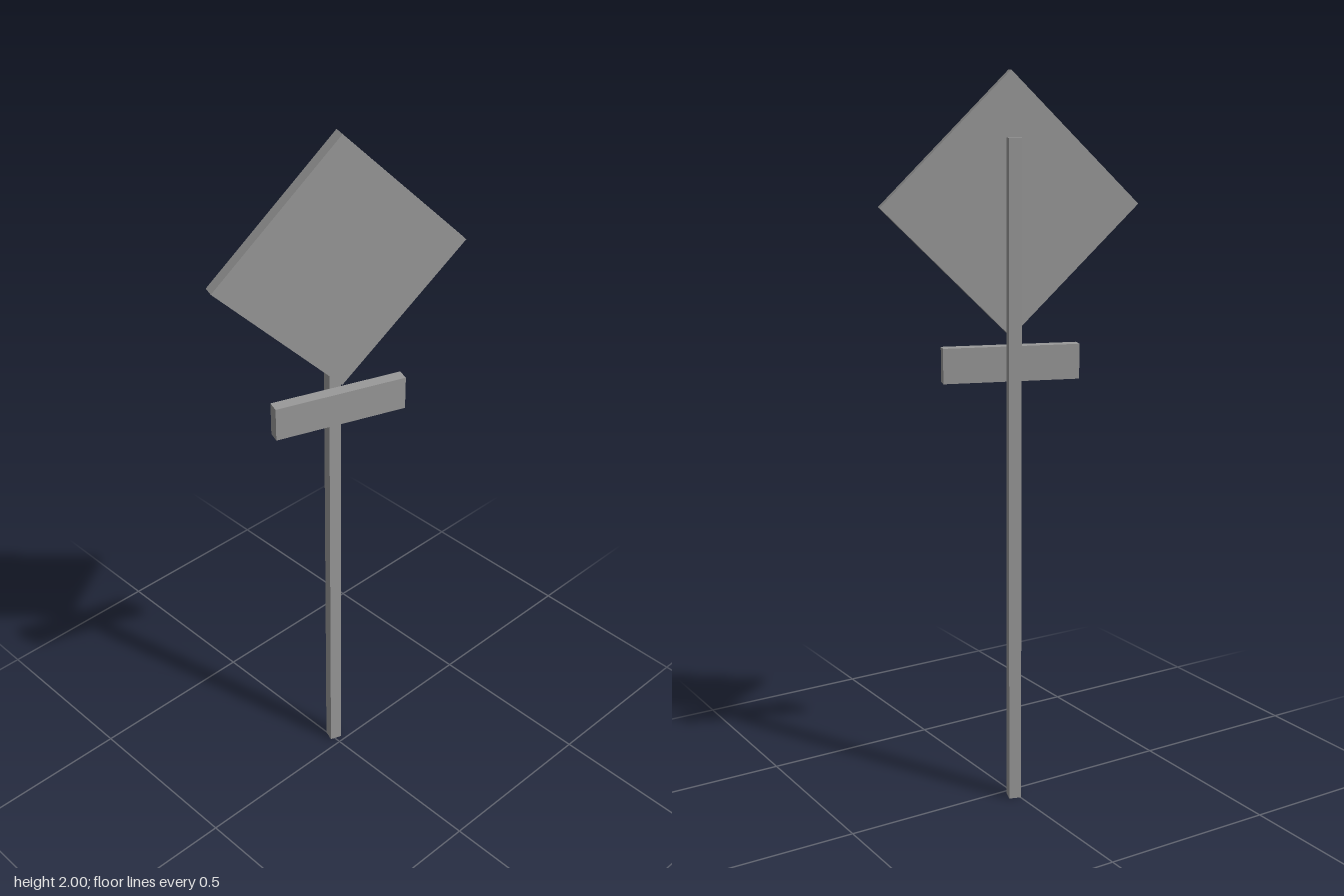
import * as THREE from 'three';

export function createModel() {
  const grey = new THREE.MeshStandardMaterial({ color: 0x999999 });
  grey.name = 'grey';

  const model = new THREE.Group();
  model.name = 'roadSign';

  // Assembly turned slightly about the vertical axis
  const sign = new THREE.Group();
  sign.name = 'signAssembly';
  sign.rotation.y = -0.339;
  model.add(sign);

  const addBox = (name, [w, h, d], [x, y, z], roll = 0) => {
    const mesh = new THREE.Mesh(new THREE.BoxGeometry(w, h, d), grey);
    mesh.name = name;
    mesh.position.set(x, y, z);
    mesh.rotation.z = roll;
    sign.add(mesh);
  };

  const thickness = 0.034;
  const side = 0.345 * Math.SQRT2;

  // Square post standing behind the plates
  addBox('post', [thickness, 1.83, thickness], [-0.003, 0.915, -0.037]);
  // Diamond warning plate
  addBox('diamondPlate', [side, side, thickness], [0, 1.655, 0], Math.PI / 4);
  // Small rectangular plate below it
  addBox('lowerPlate', [0.372, 0.095, thickness], [-0.002, 1.2375, 0.001]);

  return model;
}
